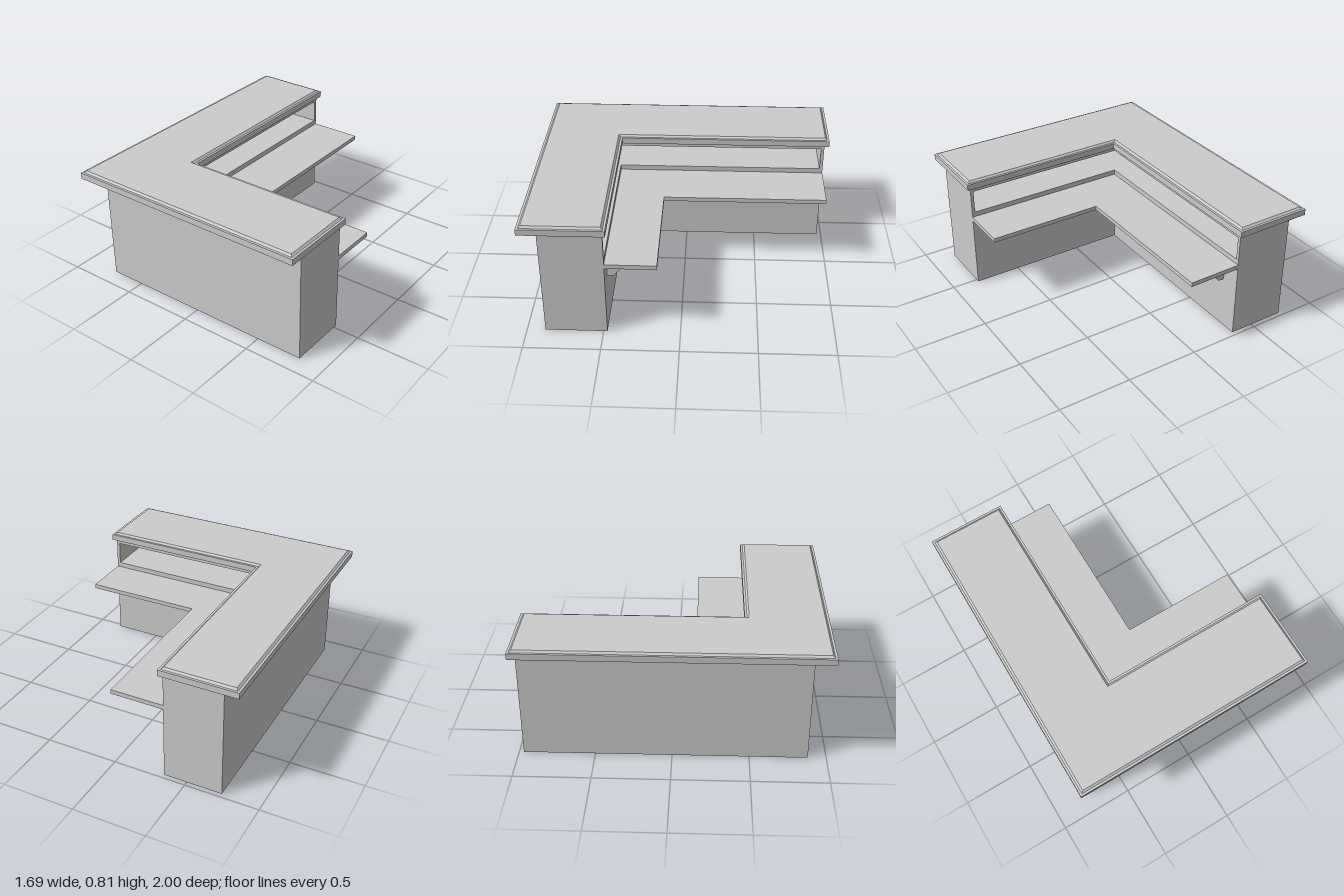
import * as THREE from 'three';

const mat = new THREE.MeshStandardMaterial({ color: 0xcccccc, flatShading: true });

// Corners of an L-shaped plan: arms run along x (front) and z (left), drawn in by d
const plan = ({ x0, xi, x1, zb, zi, z1 }, d) => [
  [x0 + d, z1 - d], [x1 - d, z1 - d], [x1 - d, zi + d],
  [xi - d, zi + d], [xi - d, zb + d], [x0 + d, zb + d],
];

// Solid with an L-shaped plan, lofted through levels of [y, inset]
function lSolid(name, dims, levels) {
  const pos = [];
  const rings = levels.map(([y, d]) => plan(dims, d).map(([x, z]) => [x, y, z]));
  const quad = (a, b, c, d) => pos.push(...a, ...b, ...c, ...a, ...c, ...d);
  for (let k = 0; k + 1 < rings.length; k++) {
    for (let i = 0; i < 6; i++) {
      const j = (i + 1) % 6;
      quad(rings[k][i], rings[k][j], rings[k + 1][j], rings[k + 1][i]);
    }
  }
  const t = rings[rings.length - 1], b = rings[0];
  quad(t[0], t[1], t[2], t[3]);
  quad(t[0], t[3], t[4], t[5]);
  quad(b[3], b[2], b[1], b[0]);
  quad(b[5], b[4], b[3], b[0]);
  const geo = new THREE.BufferGeometry();
  geo.setAttribute('position', new THREE.Float32BufferAttribute(pos, 3));
  geo.computeVertexNormals();
  const mesh = new THREE.Mesh(geo, mat);
  mesh.name = name;
  return mesh;
}

// Box given by its extents
function block(name, xa, xb, ya, yb, za, zb) {
  const mesh = new THREE.Mesh(new THREE.BoxGeometry(xb - xa, yb - ya, zb - za), mat);
  mesh.position.set((xa + xb) / 2, (ya + yb) / 2, (za + zb) / 2);
  mesh.name = name;
  return mesh;
}

export function createModel() {
  const group = new THREE.Group();
  group.name = 'cornerCounter';

  const body = { x0: -0.74, xi: -0.34, x1: 0.82, zb: -0.97, zi: 0.475, z1: 0.88 };
  const top = { x0: -0.845, xi: -0.32, x1: 0.845, zb: -1, zi: 0.455, z1: 1 };
  const desk = { x0: body.xi, xi: 0.025, x1: 0.82, zb: -0.97, zi: 0.145, z1: body.zi };
  const floorY = 0.57, ceilY = 0.73, topY = 0.76, wall = 0.022;

  // Carcass: solid base, lid, and walls round the open compartment
  group.add(
    lSolid('base', body, [[0, 0], [floorY, 0]]),
    lSolid('compartmentLid', body, [[ceilY, 0], [topY, 0]]),
    block('frontWall', body.x0, body.x1, floorY, ceilY, body.z1 - wall, body.z1),
    block('sideWall', body.x0, body.x0 + wall, floorY, ceilY, body.zb, body.z1 - wall),
    block('leftEndWall', body.x1 - wall, body.x1, floorY, ceilY, body.zi, body.z1 - wall),
    block('backEndWall', body.x0 + wall, body.xi, floorY, ceilY, body.zb, body.zb + wall),
  );

  // Countertop with a small step and a chamfered edge
  group.add(lSolid('countertop', top, [[topY, 0], [0.802, 0], [0.802, 0.015], [0.815, 0.028]]));

  // Lower work surface on the inner side
  group.add(lSolid('workSurface', desk, [[0.505, 0], [0.535, 0]]));

  // Brackets under the work surface
  const profile = new THREE.Shape([
    [0, 0.505], [0, 0.355], [0.04, 0.355], [0.145, 0.47], [0.145, 0.505],
  ].map(([u, y]) => new THREE.Vector2(u, y)));
  const bracketGeo = new THREE.ExtrudeGeometry(profile, { depth: 0.022, bevelEnabled: false });
  bracketGeo.translate(0, 0, -0.011);
  const addBracket = (x, z, turn) => {
    const mesh = new THREE.Mesh(bracketGeo, mat);
    mesh.position.set(x, 0, z);
    mesh.rotation.y = turn;
    mesh.name = 'bracket';
    group.add(mesh);
  };
  for (const z of [-0.045, -0.83]) addBracket(body.xi, z, 0);
  for (const x of [0.18, 0.68]) addBracket(x, body.zi, Math.PI / 2);

  return group;
}
